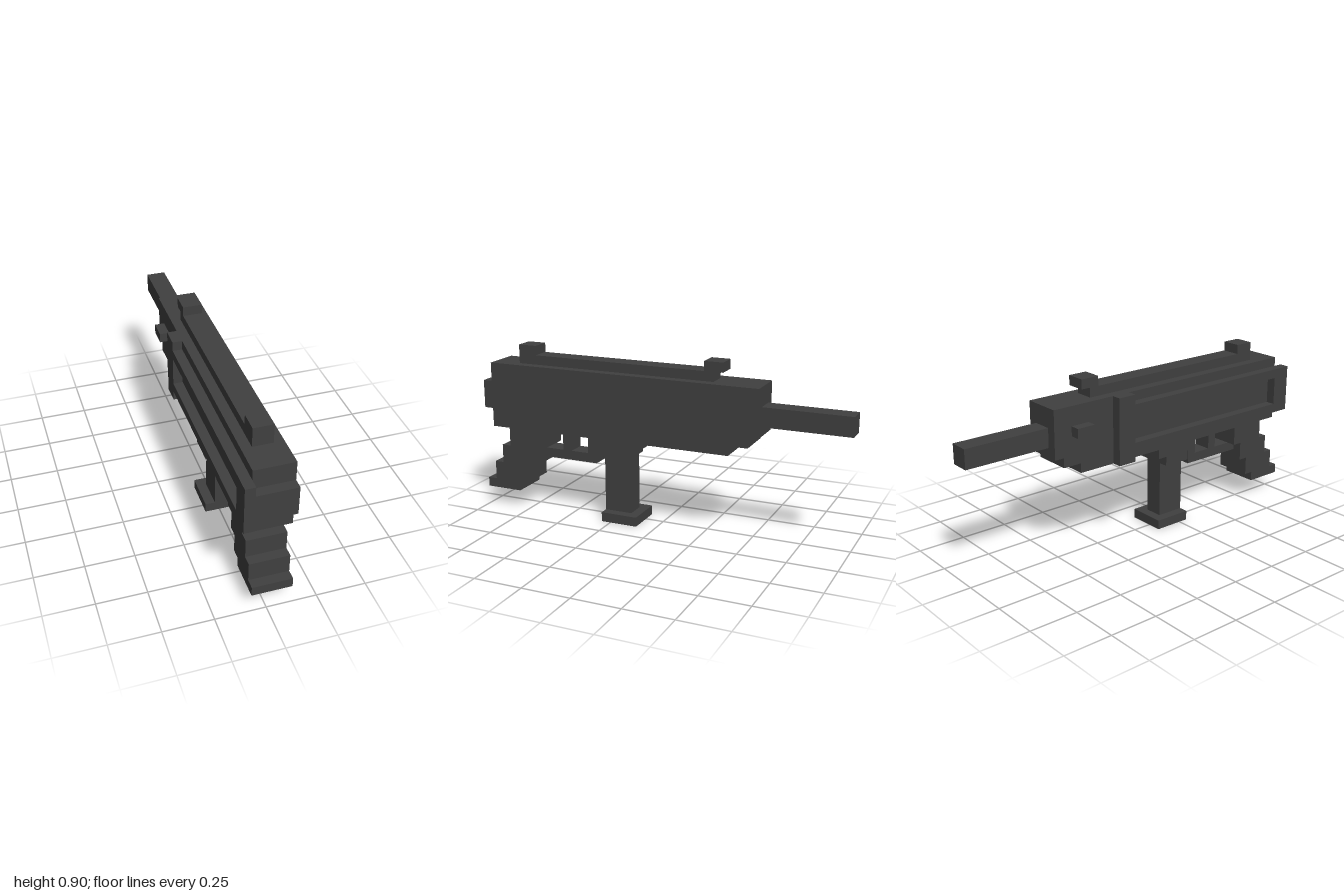
import * as THREE from 'three';

export function createModel() {
  const model = new THREE.Group();
  const darkGrey = new THREE.MeshStandardMaterial({ color: 0x404040 });

  // Side profile given as [z, y] points, extruded from x0 to x1
  const toPoints = (pts) => pts.map(([z, y]) => new THREE.Vector2(-z, y));
  function slab(name, x0, x1, outline, hole) {
    const shape = new THREE.Shape(toPoints(outline));
    if (hole) shape.holes.push(new THREE.Path(toPoints(hole)));
    const geo = new THREE.ExtrudeGeometry(shape, { depth: x1 - x0, bevelEnabled: false });
    geo.rotateY(Math.PI / 2).translate(x0, 0, 0);
    const mesh = new THREE.Mesh(geo, darkGrey);
    mesh.name = name;
    model.add(mesh);
  }
  const rect = (z0, z1, y0, y1) => [[z0, y0], [z1, y0], [z1, y1], [z0, y1]];

  const wide = [-0.075, 0.125];   // full body width
  const narrow = [-0.025, 0.075]; // central parts
  const side = [-0.125, -0.075];  // parts on the right flank

  // Receiver with stepped nose, stepped end and magazine well below
  slab('receiver', ...wide, [
    [0.95, 0.8], [0.95, 0.7], [1, 0.7], [1, 0.55], [0.95, 0.55], [0.95, 0.45],
    [0.35, 0.45], [0.35, 0.4], [0.3, 0.4], [0.3, 0.35], [0.15, 0.35], [0.15, 0.4],
    [0.1, 0.4], [0.1, 0.45], [-0.4, 0.45], [-0.4, 0.5], [-0.5, 0.5], [-0.5, 0.55],
    [-0.55, 0.55], [-0.55, 0.8],
  ]);
  slab('barrel', ...narrow, rect(-1, -0.55, 0.6, 0.7));

  // Raked, stepped grip
  slab('grip', ...wide, [
    [0.85, 0.45], [0.85, 0.35], [0.9, 0.35], [0.9, 0.25], [0.95, 0.25], [0.95, 0.15],
    [1, 0.15], [1, 0.1], [0.8, 0.1], [0.8, 0.15], [0.75, 0.15], [0.75, 0.25],
    [0.7, 0.25], [0.7, 0.35], [0.65, 0.35], [0.65, 0.45],
  ]);

  // Trigger and its guard
  slab('triggerGuard', ...narrow, [
    [0.7, 0.35], [0.7, 0.3], [0.35, 0.3], [0.35, 0.45], [0.4, 0.45], [0.4, 0.35],
  ]);
  slab('trigger', ...narrow, rect(0.5, 0.55, 0.35, 0.45));

  // Magazine and its foot
  slab('magazine', ...narrow, rect(0.15, 0.3, 0.05, 0.35));
  slab('magazineFoot', ...wide, rect(0.1, 0.3, 0, 0.05));

  // Top rail with a sight at each end
  slab('topRail', ...narrow, [
    [0.8, 0.8], [0.8, 0.9], [0.7, 0.9], [0.7, 0.85], [-0.25, 0.85], [-0.25, 0.9],
    [-0.35, 0.9], [-0.35, 0.85], [-0.3, 0.85], [-0.3, 0.8],
  ]);

  // Folded stock frame, its hinge block and the cocking handle
  slab('stockFrame', ...side, [[1, 0.5], [-0.1, 0.5], [-0.1, 0.75], [1, 0.75]],
    rect(0.9, -0.09999, 0.55, 0.7));
  slab('stockHinge', ...side, rect(-0.2, -0.1, 0.45, 0.8));
  slab('cockingHandle', ...side, rect(-0.45, -0.35, 0.65, 0.7));

  return model;
}
